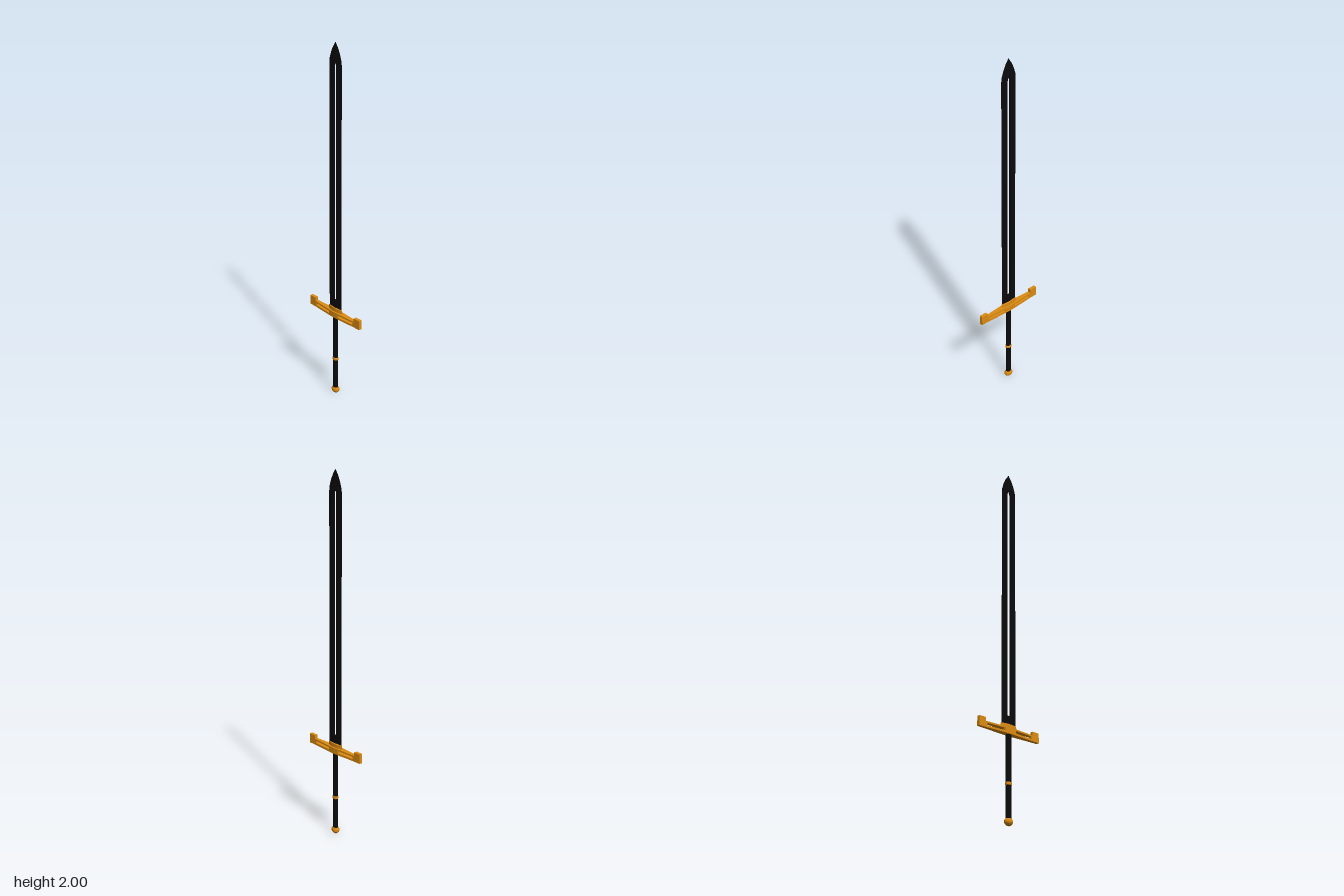
import * as THREE from 'three';

const black = new THREE.MeshStandardMaterial({ color: 0x0b0b0c, flatShading: true });
const gold = new THREE.MeshStandardMaterial({ color: 0xdd8c12, flatShading: true });

function add(parent, name, geometry, material) {
  const mesh = new THREE.Mesh(geometry, material);
  mesh.name = name;
  parent.add(mesh);
  return mesh;
}

// Half of the blade: a sharp outer edge and a thicker inner edge along the slot.
// Each row: height, outer half width, slot half width, half thickness.
function bladeHalf() {
  const rows = [
    [0.5, 0.047, 0, 0.005], [0.575, 0.047, 0, 0.005], [0.575, 0.047, 0.01, 0.005],
    [1.88, 0.047, 0.01, 0.005], [1.905, 0.045, 0, 0.005],
    [1.94, 0.034, 0, 0.003], [1.97, 0.02, 0, 0.0015], [2.0, 0, 0, 0]
  ];
  const positions = [];
  const quad = (a, b, c, d) => positions.push(...a, ...b, ...c, ...a, ...c, ...d);
  const section = ([y, w, h, t]) => ({ edge: [0, y, w], right: [t, y, h], left: [-t, y, h] });
  for (let i = 0; i < rows.length - 1; i++) {
    const a = section(rows[i]), b = section(rows[i + 1]);
    quad(a.edge, a.right, b.right, b.edge);
    quad(a.left, a.edge, b.edge, b.left);
    if (rows[i][2] || rows[i + 1][2]) quad(a.right, a.left, b.left, b.right);
  }
  const geometry = new THREE.BufferGeometry();
  geometry.setAttribute('position', new THREE.Float32BufferAttribute(positions, 3));
  geometry.computeVertexNormals();
  return geometry;
}

// Box running along z whose half width in x goes from x0 to x1
function taperedBar(z0, z1, y0, y1, x0, x1) {
  const geometry = new THREE.BoxGeometry(2, y1 - y0, z1 - z0);
  geometry.translate(0, (y0 + y1) / 2, (z0 + z1) / 2);
  const p = geometry.attributes.position;
  for (let i = 0; i < p.count; i++) {
    const k = (p.getZ(i) - z0) / (z1 - z0);
    p.setX(i, p.getX(i) * (x0 + (x1 - x0) * k));
  }
  geometry.computeVertexNormals();
  return geometry;
}

// Pointed oval collar gripping the base of the blade
function collarGeometry() {
  const shape = new THREE.Shape();
  shape.moveTo(0, -0.049);
  shape.quadraticCurveTo(0.016, 0, 0, 0.049);
  shape.quadraticCurveTo(-0.016, 0, 0, -0.049);
  const geometry = new THREE.ExtrudeGeometry(shape, {
    depth: 0.025, curveSegments: 8, bevelSize: 0.002, bevelThickness: 0.002, bevelSegments: 1
  });
  geometry.rotateX(-Math.PI / 2);
  geometry.translate(0, 0.503, 0);
  return geometry;
}

// Turned part, slightly flattened in x
function turned(profile, flatten, sides) {
  const points = profile.map(([r, y]) => new THREE.Vector2(r, y));
  const geometry = new THREE.LatheGeometry(points, sides);
  geometry.scale(flatten, 1, 1);
  return geometry;
}

export function createModel() {
  const sword = new THREE.Group();
  sword.name = 'sword';

  // Blade and crossguard: one side, then the same turned half round
  for (const [side, angle] of [['front', 0], ['back', Math.PI]]) {
    const half = new THREE.Group();
    half.name = side + 'Half';
    half.rotation.y = angle;
    add(half, 'blade', bladeHalf(), black);
    add(half, 'guardCentre', taperedBar(0, 0.035, 0.475, 0.508, 0.018, 0.0165), gold);
    add(half, 'guardUpperRail', taperedBar(0.035, 0.155, 0.499, 0.508, 0.0165, 0.009), gold);
    add(half, 'guardLowerRail', taperedBar(0.035, 0.155, 0.475, 0.486, 0.0165, 0.009), gold);
    add(half, 'guardRailEnd', taperedBar(0.145, 0.155, 0.486, 0.499, 0.0096, 0.009), gold);
    add(half, 'guardTip', taperedBar(0.155, 0.197, 0.475, 0.528, 0.009, 0.009), gold);
    sword.add(half);
  }
  add(sword, 'collar', collarGeometry(), gold);

  // Grip with its ring and pommel
  add(sword, 'grip', turned([[0, 0.02], [0.015, 0.02], [0.015, 0.476], [0, 0.476]], 0.83, 12), black);
  add(sword, 'gripRing', turned(
    [[0.014, 0.206], [0.018, 0.209], [0.018, 0.221], [0.014, 0.224]], 0.83, 12), gold);
  add(sword, 'pommel', turned(
    [[0, 0], [0.012, 0.002], [0.02, 0.009], [0.024, 0.016], [0.024, 0.026], [0.019, 0.036], [0, 0.036]],
    0.8, 12), gold);
  return sword;
}
